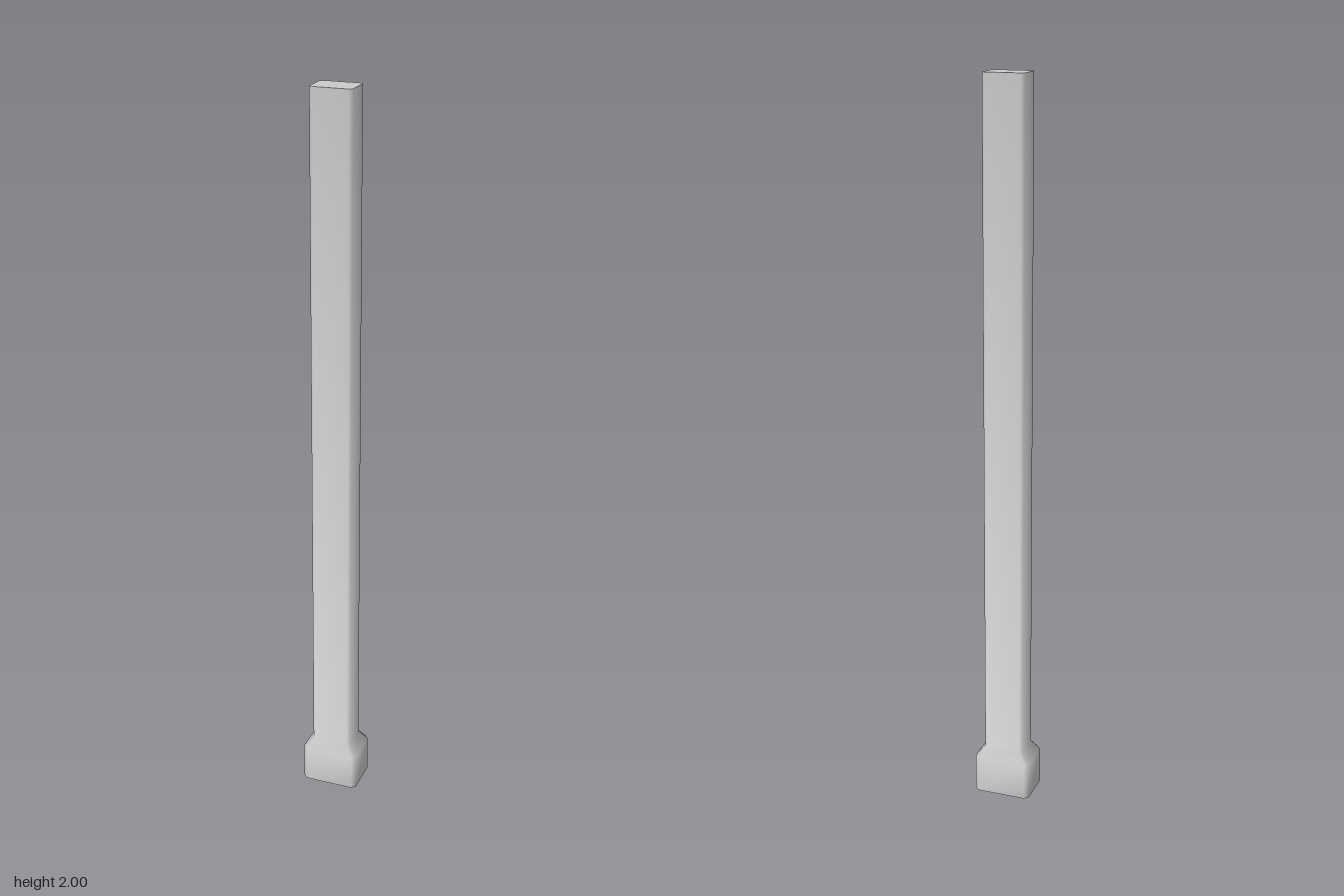
import * as THREE from 'three';
import { toCreasedNormals } from 'three/addons/utils/BufferGeometryUtils.js';

// Rectangle with chamfered corners, counter-clockwise seen from above
function ring({ y, w, d, c }) {
  return [
    [w - c, d], [w, d - c], [w, c - d], [w - c, -d],
    [c - w, -d], [-w, c - d], [-w, d - c], [c - w, d],
  ].map(([x, z]) => [x, y, z]);
}

// Joins the cross-sections from bottom to top and caps both ends
function loft(sections) {
  const rings = sections.map(ring);
  const n = rings[0].length;
  const last = rings.length - 1;
  const points = [];
  for (let j = 0; j < n; j++) {
    const k = (j + 1) % n;
    for (let i = 0; i < last; i++) {
      const lower = rings[i], upper = rings[i + 1];
      points.push(lower[j], lower[k], upper[k], lower[j], upper[k], upper[j]);
    }
    points.push([0, sections[0].y, 0], rings[0][k], rings[0][j]);
    points.push([0, sections[last].y, 0], rings[last][j], rings[last][k]);
  }
  const geometry = new THREE.BufferGeometry();
  geometry.setAttribute('position', new THREE.Float32BufferAttribute(points.flat(), 3));
  return toCreasedNormals(geometry, THREE.MathUtils.degToRad(60));
}

export function createModel() {
  const group = new THREE.Group();
  group.name = 'post';
  const material = new THREE.MeshStandardMaterial({ color: 0xcccccc });

  // Wide foot, sloped shoulder and long shaft in one smooth piece
  const foot = { w: 0.08, d: 0.06, c: 0.011 };
  const shaft = { w: 0.0565, d: 0.042, c: 0.008 };
  const post = new THREE.Mesh(loft([
    { y: 0, ...foot },
    { y: 0.105, ...foot },
    { y: 0.135, ...shaft },
    { y: 2, ...shaft },
  ]), material);
  post.name = 'shaftWithFoot';
  group.add(post);
  return group;
}
